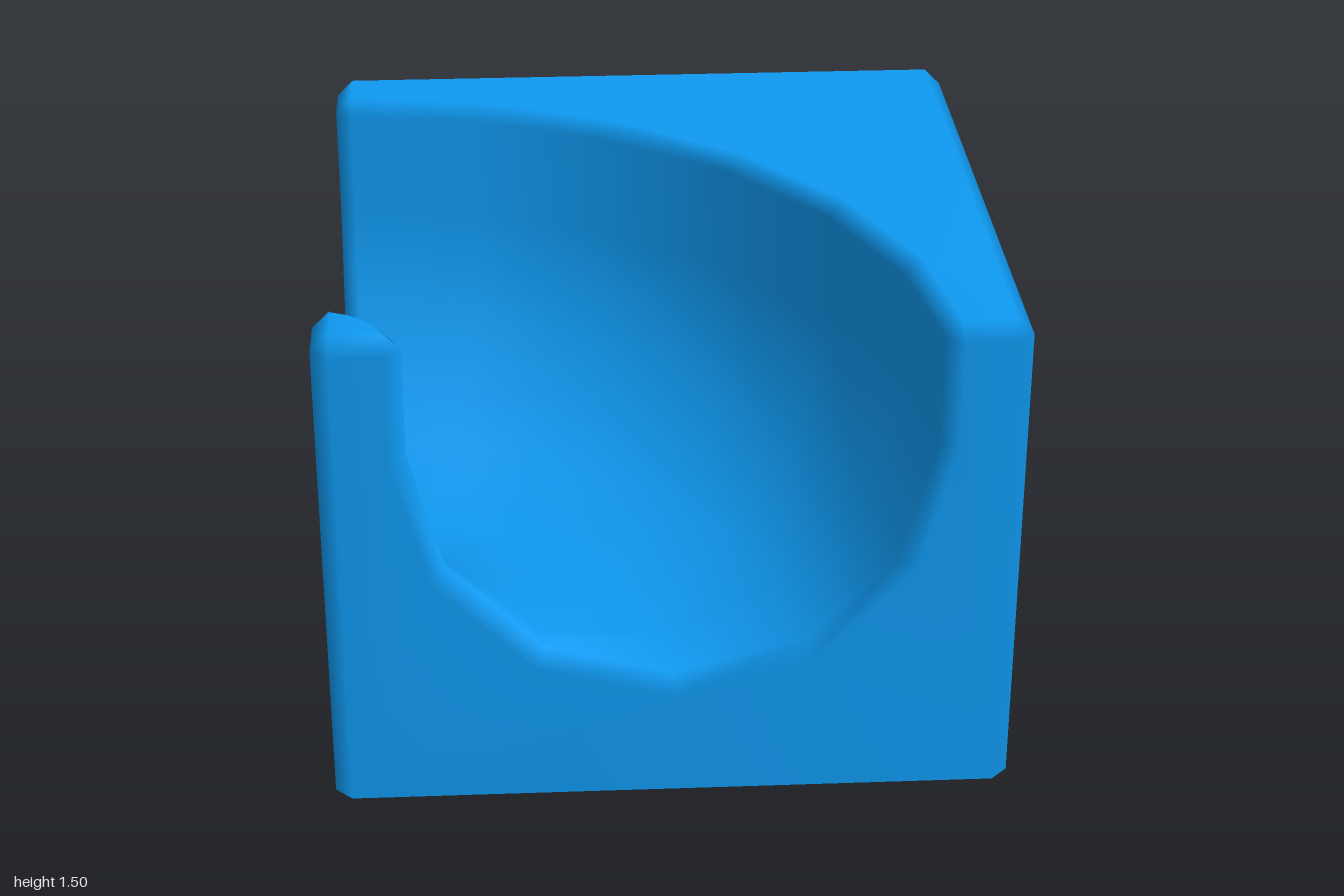
import * as THREE from 'three';

const H = 1.5;           // block height
const B = 0.05;          // bevel width
const T = H - B;         // height where the top bevel starts
const I = 1 - B;         // inset of the bevelled edges
const R = 0.75;          // channel radius
const CY = 1.125;        // height of the channel axis
const SIDES = 6, STEPS = 6;

const v = (x, y, z) => new THREE.Vector3(x, y, z);
// the block is symmetrical about its diagonal
const flip = (p) => v(-p.z, p.y, -p.x);

// U-shaped channel section: [distance from axis, height], left to right
function section(radius) {
  const arc = [];
  for (let i = 0; i <= SIDES; i++) {
    const a = (i / SIDES) * Math.PI;
    arc.push([-radius * Math.cos(a), CY - radius * Math.sin(a)]);
  }
  return [[-radius, T], ...arc, [radius, T]];
}

export function createModel() {
  const parts = { walls: [], top: [], channel: [] };
  const normals = new Map();
  const key = (p) => [p.x, p.y, p.z].map((n) => Math.round(n * 1e4)).join();

  // stores a face and adds its area-weighted normal to each of its corners
  function face(part, pts, tris) {
    const sum = v(0, 0, 0);
    for (const [a, b, c] of tris) {
      const n = pts[b].clone().sub(pts[a]).cross(pts[c].clone().sub(pts[a]));
      if (n.length() < 1e-8) continue;
      sum.add(n);
      parts[part].push(pts[a], pts[b], pts[c]);
    }
    for (const k of new Set(pts.map(key))) {
      if (!normals.has(k)) normals.set(k, v(0, 0, 0));
      normals.get(k).add(sum);
    }
  }
  const flat = (part, ...p) =>
    face(part, p, p.length === 3 ? [[0, 1, 2]] : [[0, 1, 2], [0, 2, 3]]);
  const polygon = (part, outline, place) =>
    face(part, outline.map(place), THREE.ShapeUtils.triangulateShape(outline, []));
  // a face and its mirror image across the diagonal
  function both(part, ...p) {
    flat(part, ...p);
    flat(part, ...p.map(flip).reverse());
  }

  // channel: section swept a quarter turn about the corner (-1, 1)
  const inner = section(R), wide = section(R + B);
  const lipped = [[-R - B, H], ...inner, [R + B, H]];
  const mouth = [wide[0], ...wide, wide[wide.length - 1]];
  const rows = [mouth.map(([d, y]) => v(d, y, 1))];
  for (let s = 0; s <= STEPS; s++) {
    const a = (s / STEPS) * Math.PI / 2;
    rows.push(lipped.map(([d, y]) => {
      const r = 1 + d;
      if (s === 0) return v(d, y, I);
      if (s === STEPS) return v(-I, y, -d);
      return v(-1 + r * Math.cos(a), y, 1 - r * Math.sin(a));
    }));
  }
  rows.push(rows[0].map(flip));
  for (let i = 0; i < rows.length - 1; i++) {
    for (let j = 0; j < lipped.length - 1; j++) {
      flat('channel', rows[i][j], rows[i][j + 1], rows[i + 1][j + 1], rows[i + 1][j]);
    }
  }

  // the two walls with a channel mouth
  const front = [[-I, 0], [I, 0], [I, T], ...wide.slice().reverse(), [-I, T]]
    .map(([x, y]) => new THREE.Vector2(x, y));
  polygon('walls', front, (p) => v(p.x, p.y, 1));
  polygon('walls', front.map((p) => new THREE.Vector2(-p.x, p.y)).reverse(),
    (p) => v(-1, p.y, p.x));
  for (const [x0, x1] of [[-I, -R - B], [R + B, I]]) {
    both('walls', v(x0, T, 1), v(x1, T, 1), v(x1, H, I), v(x0, H, I));
  }

  // the two plain walls and their top bevels
  both('walls', v(1, 0, I), v(1, 0, -I), v(1, T, -I), v(1, T, I));
  both('walls', v(1, T, I), v(1, T, -I), v(I, H, -I), v(I, H, I));

  // chamfered vertical corners
  const corners = [[I, 1, 1, I], [1, -I, I, -1], [-I, -1, -1, -I], [-1, I, -I, 1]];
  for (const [ax, az, bx, bz] of corners) {
    flat('walls', v(ax, 0, az), v(bx, 0, bz), v(bx, T, bz), v(ax, T, az));
    flat('walls', v(ax, T, az), v(bx, T, bz), v(Math.sign(ax) * I, H, Math.sign(az) * I));
  }

  // top surfaces outside and inside the bend
  const edge = (j) => rows.slice(1, -1).map((row) => new THREE.Vector2(row[j].x, -row[j].z));
  const corner = (x, z) => new THREE.Vector2(x, -z);
  const onTop = (p) => v(p.x, H, -p.y);
  polygon('top', [corner(I, I), corner(I, -I), corner(-I, -I),
    ...edge(lipped.length - 1).reverse()], onTop);
  polygon('top', [corner(-I, I), ...edge(0)], onTop);

  // open-bottomed shell with shared smooth normals
  const material = new THREE.MeshStandardMaterial({ color: 0x0f9af2, side: THREE.DoubleSide });
  const group = new THREE.Group();
  group.name = 'curvedChannelBlock';
  for (const [name, pts] of Object.entries(parts)) {
    const geometry = new THREE.BufferGeometry().setFromPoints(pts);
    const n = pts.flatMap((p) => normals.get(key(p)).clone().normalize().toArray());
    geometry.setAttribute('normal', new THREE.Float32BufferAttribute(n, 3));
    const mesh = new THREE.Mesh(geometry, material);
    mesh.name = name;
    group.add(mesh);
  }
  return group;
}
